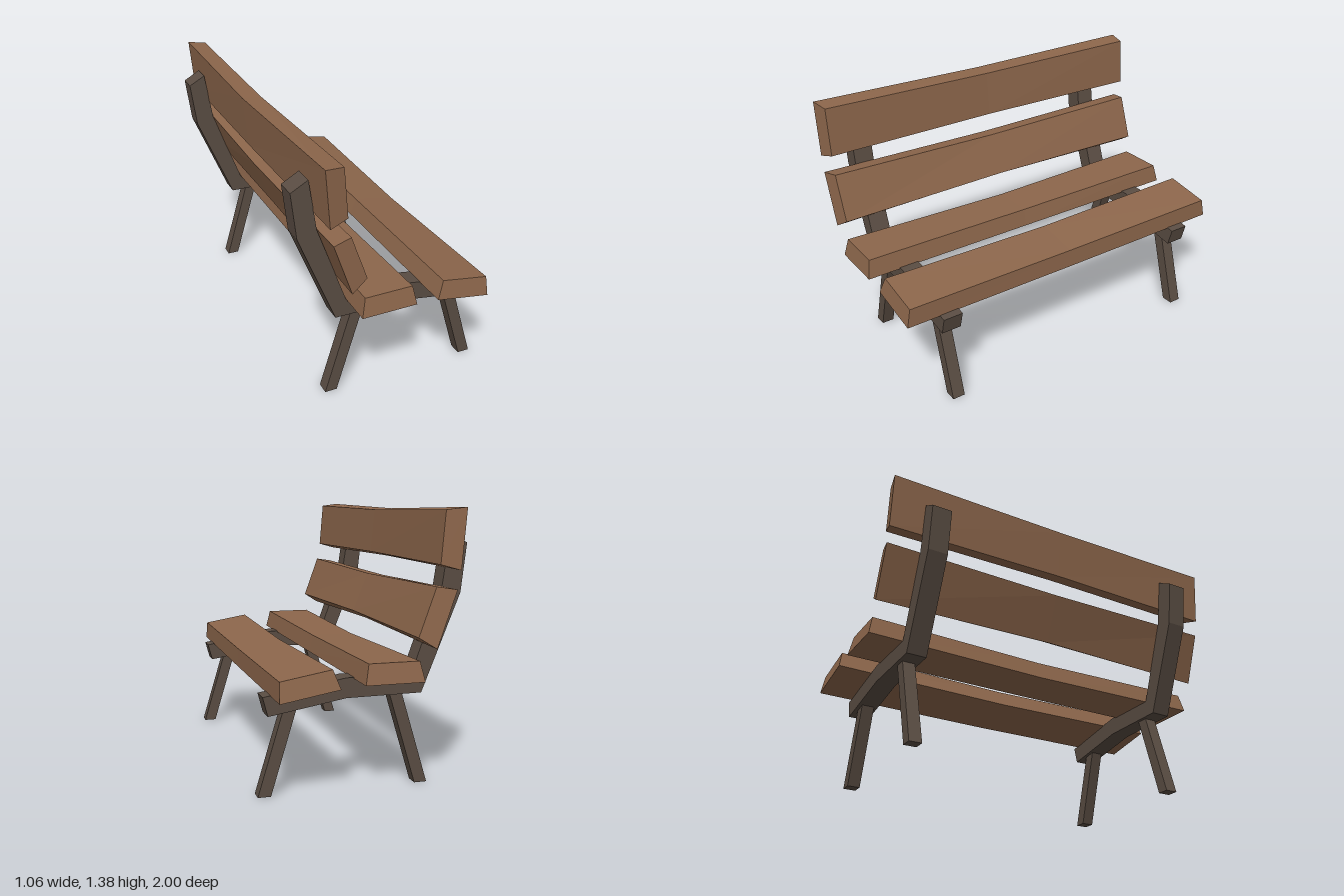
import * as THREE from 'three';

const wood = new THREE.MeshStandardMaterial({ color: 0x8c664b, flatShading: true });
const iron = new THREE.MeshStandardMaterial({ color: 0x5a4d43, flatShading: true });

// Plank along z: corners run counter-clockwise from lower left (seen from +z).
// The middle section is worn by its own corners; 'inset' marks shortened corners.
function plank(name, end, middle, inset) {
  const geo = new THREE.BoxGeometry(2, 2, 2, 1, 1, 2).toNonIndexed();
  const p = geo.attributes.position;
  for (let i = 0; i < p.count; i++) {
    const right = p.getX(i) > 0, top = p.getY(i) > 0, z = p.getZ(i);
    const c = top ? (right ? 2 : 3) : (right ? 1 : 0);
    const [x, y] = Math.abs(z) < 0.5 ? middle[c] : end[c];
    p.setXYZ(i, x, y, z * (inset.includes(c) ? 0.98 : 1));
  }
  geo.computeVertexNormals();
  const mesh = new THREE.Mesh(geo, wood);
  mesh.name = name;
  return mesh;
}

// Side profile in the xy plane, given thickness along z and centred on z
function profile(name, points, width, z) {
  const shape = new THREE.Shape(points.map(([x, y]) => new THREE.Vector2(x, y)));
  const geo = new THREE.ExtrudeGeometry(shape, { depth: width, bevelEnabled: false });
  geo.translate(0, 0, z - width / 2);
  const mesh = new THREE.Mesh(geo, iron);
  mesh.name = name;
  return mesh;
}

export function createModel() {
  const bench = new THREE.Group();
  bench.name = 'bench';

  // Backrest planks, front faces shortened
  bench.add(plank('upperBackPlank',
    [[-0.415, 1.085], [-0.318, 1.112], [-0.34, 1.368], [-0.44, 1.38]],
    [[-0.425, 1.092], [-0.328, 1.117], [-0.35, 1.355], [-0.453, 1.362]], [1, 2]));
  bench.add(plank('lowerBackPlank',
    [[-0.3, 0.715], [-0.213, 0.77], [-0.3, 1.01], [-0.398, 0.995]],
    [[-0.305, 0.732], [-0.225, 0.778], [-0.31, 0.992], [-0.403, 0.98]], [1, 2]));

  // Seat planks, top faces shortened
  bench.add(plank('rearSeatPlank',
    [[-0.243, 0.56], [0.055, 0.56], [0.035, 0.66], [-0.222, 0.66]],
    [[-0.233, 0.55], [0.04, 0.55], [0.02, 0.645], [-0.212, 0.645]], [2, 3]));
  bench.add(plank('frontSeatPlank',
    [[0.175, 0.55], [0.468, 0.5], [0.464, 0.6], [0.21, 0.643]],
    [[0.183, 0.54], [0.458, 0.489], [0.454, 0.588], [0.218, 0.63]], [2, 3]));

  // Bent side frames, each with two splayed legs
  for (const [side, z] of [['front', 0.765], ['back', -0.765]]) {
    const frame = new THREE.Group();
    frame.name = side + 'SideFrame';
    frame.add(profile('bentRail', [
      [-0.53, 1.205], [-0.5, 0.96], [-0.3, 0.468], [0.09, 0.465], [0.48, 0.4],
      [0.505, 0.495], [0.09, 0.565], [-0.243, 0.56], [-0.4, 0.99], [-0.44, 1.255],
    ], 0.108, z));
    frame.add(profile('rearLeg',
      [[-0.345, 0], [-0.28, 0], [-0.135, 0.485], [-0.2, 0.485]], 0.068, z));
    frame.add(profile('frontLeg',
      [[0.463, 0], [0.528, 0], [0.395, 0.44], [0.33, 0.44]], 0.068, z));
    bench.add(frame);
  }
  return bench;
}
